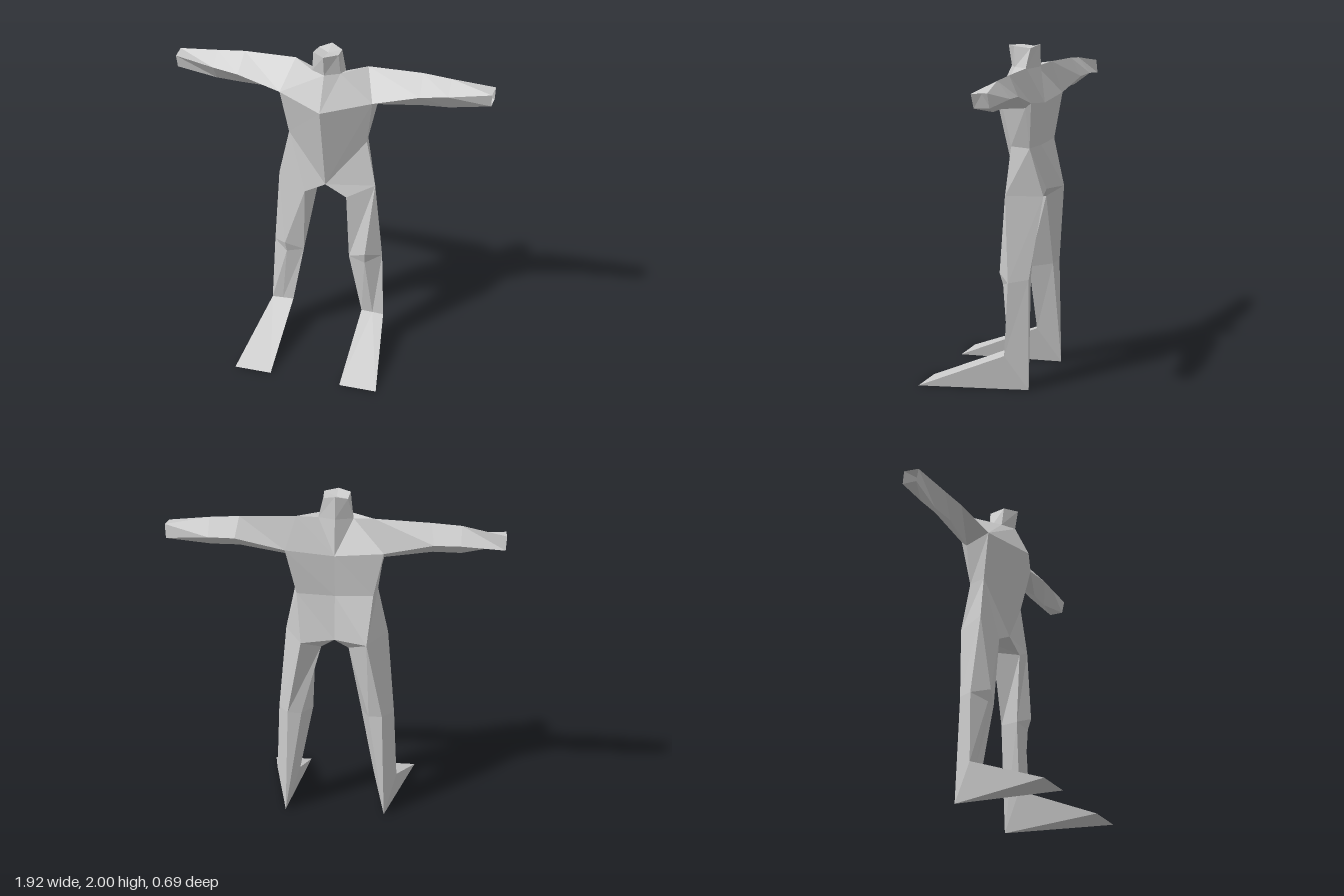
import * as THREE from 'three';

const material = new THREE.MeshStandardMaterial({ color: 0xcccccc, flatShading: true, side: THREE.DoubleSide });

// Torso landmarks on the model's left half (mirrored for the right)
const neckFront = [0, 1.87, -0.08], neckSide = [0.085, 1.87, -0.13], neckRear = [0.1, 1.86, -0.2], neckBack = [0, 1.87, -0.26];
const chest = [0, 1.67, 0.015], upperBack = [0, 1.66, -0.285];
const waistFront = [0.24, 1.43, -0.165], waistBack = [0.22, 1.42, -0.27], waistMid = [0, 1.41, -0.265];
const crotchFront = [0, 1.13, -0.115], crotchBack = [0, 1.15, -0.3];

// Arm root ring: top, front, bottom, back
const shoulder = [0.22, 1.88, -0.25], armpitFront = [0.28, 1.71, -0.115];
const armpit = [0.28, 1.66, -0.265], blade = [0.28, 1.69, -0.3];

// Leg root ring
const hip = [0.3, 1.15, -0.15], groin = [0.13, 1.06, -0.115];
const seatInner = [0.08, 1.09, -0.27], seat = [0.19, 1.14, -0.345];

// Ankle, heel and toes
const ankleOuter = [0.365, 0.212, -0.17], ankleMid = [0.295, 0.217, -0.168], ankleInner = [0.225, 0.222, -0.165];
const heel = [0.3, 0, -0.3], toeOuter = [0.45, 0, 0.34], toeInner = [0.22, 0, 0.34];

const flip = ([x, y, z]) => [-x, y, z];
const mirrorFaces = faces => faces.map(f => f.map(flip).reverse());

// Faces between successive rings of corners
function loft(rings) {
  const faces = [];
  for (let r = 0; r + 1 < rings.length; r++) {
    const a = rings[r], b = rings[r + 1], n = a.length;
    for (let i = 0; i < n; i++) {
      const j = (i + 1) % n;
      faces.push([a[i], a[j], b[j], b[i]]);
    }
  }
  return faces;
}

// Flat-shaded mesh from polygons, fanned into triangles
function meshOf(name, faces) {
  const positions = [];
  const same = (p, q) => p.every((v, i) => v === q[i]);
  for (const f of faces) {
    for (let i = 1; i + 1 < f.length; i++) {
      const [a, b, c] = [f[0], f[i], f[i + 1]];
      if (!same(a, b) && !same(b, c) && !same(c, a)) positions.push(...a, ...b, ...c);
    }
  }
  const geometry = new THREE.BufferGeometry();
  geometry.setAttribute('position', new THREE.Float32BufferAttribute(positions, 3));
  geometry.computeVertexNormals();
  const mesh = new THREE.Mesh(geometry, material);
  mesh.name = name;
  return mesh;
}

export function createModel() {
  const model = new THREE.Group();
  model.name = 'figure';

  // Torso
  const torso = [
    [chest, armpitFront, neckSide, neckFront],
    [neckSide, armpitFront, shoulder],
    [neckSide, shoulder, neckRear],
    [crotchFront, waistFront, armpitFront, chest],
    [crotchFront, groin, hip, waistFront],
    [waistFront, waistBack, armpit, armpitFront],
    [waistBack, blade, armpit],
    [hip, seat, waistBack, waistFront],
    [upperBack, neckBack, neckRear],
    [upperBack, neckRear, shoulder, blade],
    [waistMid, upperBack, blade, waistBack],
    [crotchBack, waistMid, waistBack, seat],
    [crotchBack, seatInner, groin, crotchFront],
    [crotchBack, seat, seatInner],
  ];
  model.add(meshOf('torso', [...torso, ...mirrorFaces(torso)]));

  // Head, with a slightly dished top
  const ring = (f, s, r, b) => [f, s, r, b, flip(r), flip(s)];
  const crown = ring([0, 1.99, -0.06], [0.075, 1.99, -0.12], [0.07, 1.98, -0.22], [0, 2, -0.255]);
  const top = crown.map((p, i) => [p, crown[(i + 1) % crown.length], [0, 1.975, -0.17]]);
  model.add(meshOf('head', [...loft([ring(neckFront, neckSide, neckRear, neckBack), crown]), ...top]));

  // Arm, open at the wrist
  const arm = loft([
    [shoulder, armpitFront, armpit, blade],
    [[0.54, 1.873, -0.265], [0.55, 1.77, -0.15], [0.55, 1.687, -0.225], [0.56, 1.76, -0.325]],
    [[0.71, 1.86, -0.26], [0.71, 1.785, -0.17], [0.71, 1.69, -0.235], [0.71, 1.765, -0.335]],
    [[0.96, 1.822, -0.3], [0.955, 1.815, -0.205], [0.952, 1.738, -0.22], [0.955, 1.742, -0.31]],
  ]);

  // Leg: hip, two rings at the kneecap, ankle
  const kneeOuter = [0.345, 0.645, -0.185], kneeInner = [0.145, 0.63, -0.14];
  const kneeBackInner = [0.2, 0.65, -0.275], kneeBack = [0.28, 0.66, -0.29];
  const leg = loft([
    [hip, hip, groin, seatInner, seat],
    [kneeOuter, [0.255, 0.68, -0.1], kneeInner, kneeBackInner, kneeBack],
    [kneeOuter, [0.25, 0.61, -0.12], kneeInner, kneeBackInner, kneeBack],
    [ankleOuter, ankleMid, ankleInner, heel, heel],
  ]);

  // Wedge foot
  const foot = [
    [ankleMid, ankleInner, toeInner, toeOuter, ankleOuter],
    [ankleOuter, toeOuter, heel],
    [ankleInner, heel, toeInner],
    [heel, toeOuter, toeInner],
  ];

  for (const [part, faces] of Object.entries({ Arm: arm, Leg: leg, Foot: foot })) {
    model.add(meshOf('left' + part, faces), meshOf('right' + part, mirrorFaces(faces)));
  }
  return model;
}
